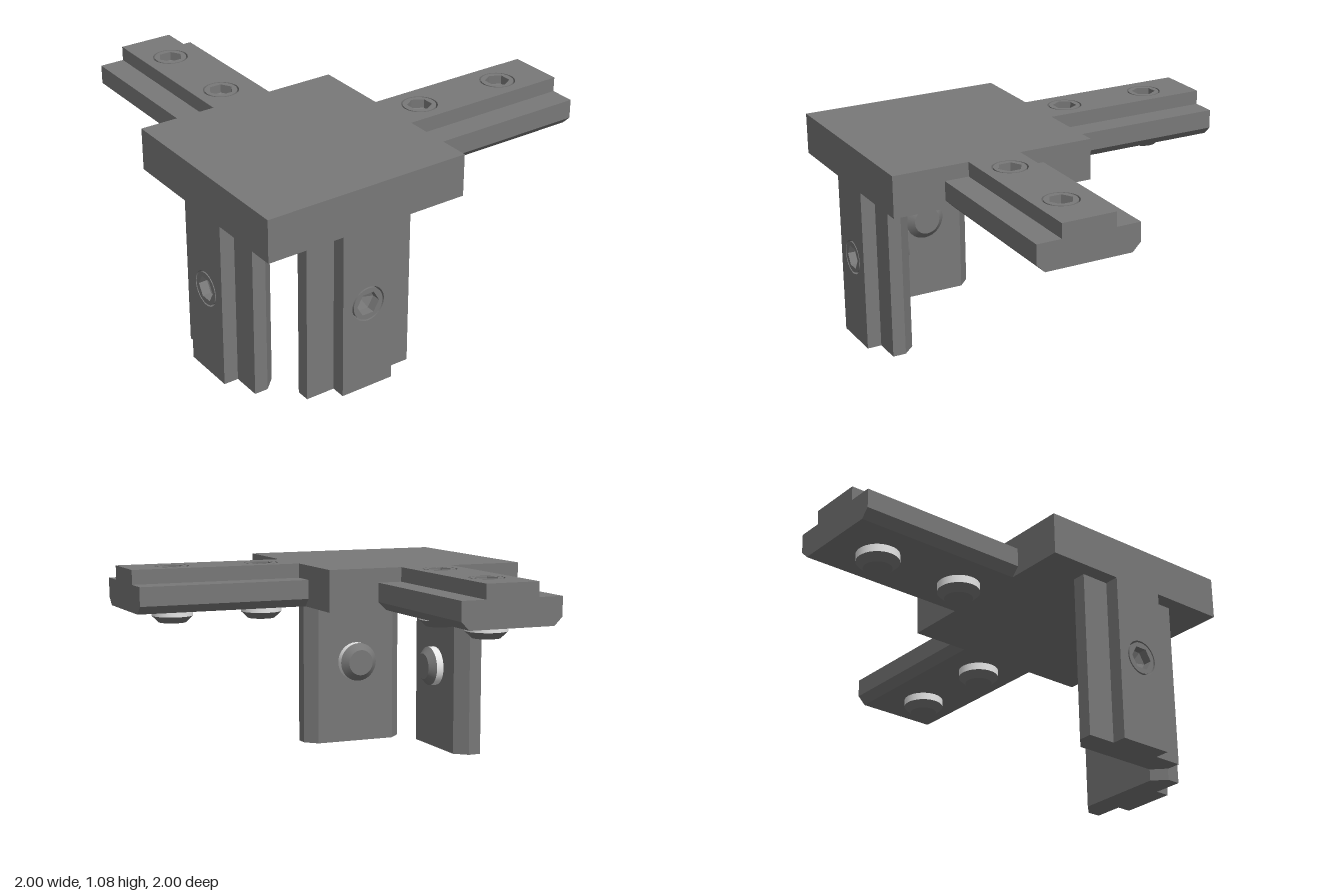
import * as THREE from 'three';

const steel = new THREE.MeshStandardMaterial({ color: 0x787878, side: THREE.DoubleSide });
steel.name = 'grey steel';
const bright = new THREE.MeshStandardMaterial({ color: 0xe8e8e8 });
bright.name = 'bright metal';

const RIDGE_DEPTH = 0.075, RIDGE_HALF = 0.142;
const HOLE_RADIUS = 0.09, SCREW_RADIUS = 0.082, HEX_RADIUS = 0.062;

function mesh(name, geometry, material = steel) {
  const m = new THREE.Mesh(geometry, material);
  m.name = name;
  return m;
}

function polygon(points) {
  return new THREE.Shape(points.map(([x, y]) => new THREE.Vector2(x, y)));
}

// Extrude a (width, length) outline inward from the outer face y = 0
function plateDown(shape, depth) {
  return new THREE.ExtrudeGeometry(shape, { depth, bevelEnabled: false, curveSegments: 24 })
    .rotateX(Math.PI / 2);
}

// Set screw: hex socket flush with the outer face, tapered tip below the bar
function screw(barDepth) {
  const g = new THREE.Group();
  g.name = 'screw';

  const face = new THREE.Shape().absarc(0, 0, SCREW_RADIUS, 0, Math.PI * 2);
  const hex = [];
  for (let i = 0; i < 6; i++) {
    const a = -i * Math.PI / 3;
    hex.push(new THREE.Vector2(Math.cos(a) * HEX_RADIUS, Math.sin(a) * HEX_RADIUS));
  }
  face.holes.push(new THREE.Path(hex));
  g.add(mesh('screwSocket', plateDown(face, RIDGE_DEPTH)));

  // Faceted pyramid floor of the socket
  let floor = new THREE.LatheGeometry(
    [new THREE.Vector2(0, -0.07), new THREE.Vector2(HEX_RADIUS, -0.045)], 6);
  floor = floor.rotateY(Math.PI / 6).toNonIndexed();
  floor.computeVertexNormals();
  g.add(mesh('socketFloor', floor));

  const band = mesh('screwBand', new THREE.CylinderGeometry(0.108, 0.108, 0.04, 32, 1, true), bright);
  band.position.y = -barDepth - 0.02;
  const tip = mesh('screwTip', new THREE.CylinderGeometry(0.108, 0.072, 0.035, 32));
  tip.position.y = -barDepth - 0.0575;
  g.add(band, tip);
  return g;
}

// Slot bar running along local +z, with its outer face at y = 0
function slotBar(name, { length, half, mid, depth, chamfer, screws, at, out, along }) {
  const g = new THREE.Group();
  g.name = name;

  // Wide chamfered body
  const body = polygon([
    [-half, -RIDGE_DEPTH], [-half, -mid], [-half + chamfer, -depth],
    [half - chamfer, -depth], [half, -mid], [half, -RIDGE_DEPTH],
  ]);
  g.add(mesh('barBody', new THREE.ExtrudeGeometry(body, { depth: length, bevelEnabled: false })));

  // Narrow ridge with screw holes
  const ridge = polygon([
    [-RIDGE_HALF, 0], [RIDGE_HALF, 0], [RIDGE_HALF, length], [-RIDGE_HALF, length],
  ]);
  for (const z of screws) {
    ridge.holes.push(new THREE.Path().absarc(0, z, HOLE_RADIUS, 0, Math.PI * 2, true));
    const s = screw(depth);
    s.position.z = z;
    g.add(s);
  }
  g.add(mesh('barRidge', plateDown(ridge, RIDGE_DEPTH)));

  // Orient so that +y points out and +z runs along the bar
  const y = new THREE.Vector3(...out), z = new THREE.Vector3(...along);
  const x = new THREE.Vector3().crossVectors(y, z);
  g.quaternion.setFromRotationMatrix(new THREE.Matrix4().makeBasis(x, y, z));
  g.position.set(...at);
  return g;
}

export function createModel() {
  const model = new THREE.Group();
  model.name = 'cornerBracket';

  // Square corner plate
  const plate = mesh('cornerPlate', new THREE.BoxGeometry(1.087, 0.217, 1.09));
  plate.position.set(-0.4565, 0.9665, 0.455);
  model.add(plate);

  // Two horizontal arms and two vertical legs
  const arm = { length: 0.912, half: 0.271, mid: 0.174, depth: 0.217, chamfer: 0.043, screws: [0.16, 0.655] };
  const leg = { length: 0.858, half: 0.293, mid: 0.145, depth: 0.21, chamfer: 0.063, screws: [0.398] };
  model.add(
    slotBar('leftArm', { ...arm, at: [0.087, 1.075, 0.454], out: [0, 1, 0], along: [1, 0, 0] }),
    slotBar('backArm', { ...arm, at: [-0.457, 1.075, -0.088], out: [0, 1, 0], along: [0, 0, -1] }),
    slotBar('frontLeg', { ...leg, at: [-0.456, 0.858, 1], out: [0, 0, 1], along: [0, -1, 0] }),
    slotBar('rightLeg', { ...leg, at: [-1, 0.858, 0.456], out: [-1, 0, 0], along: [0, -1, 0] }),
  );
  return model;
}
